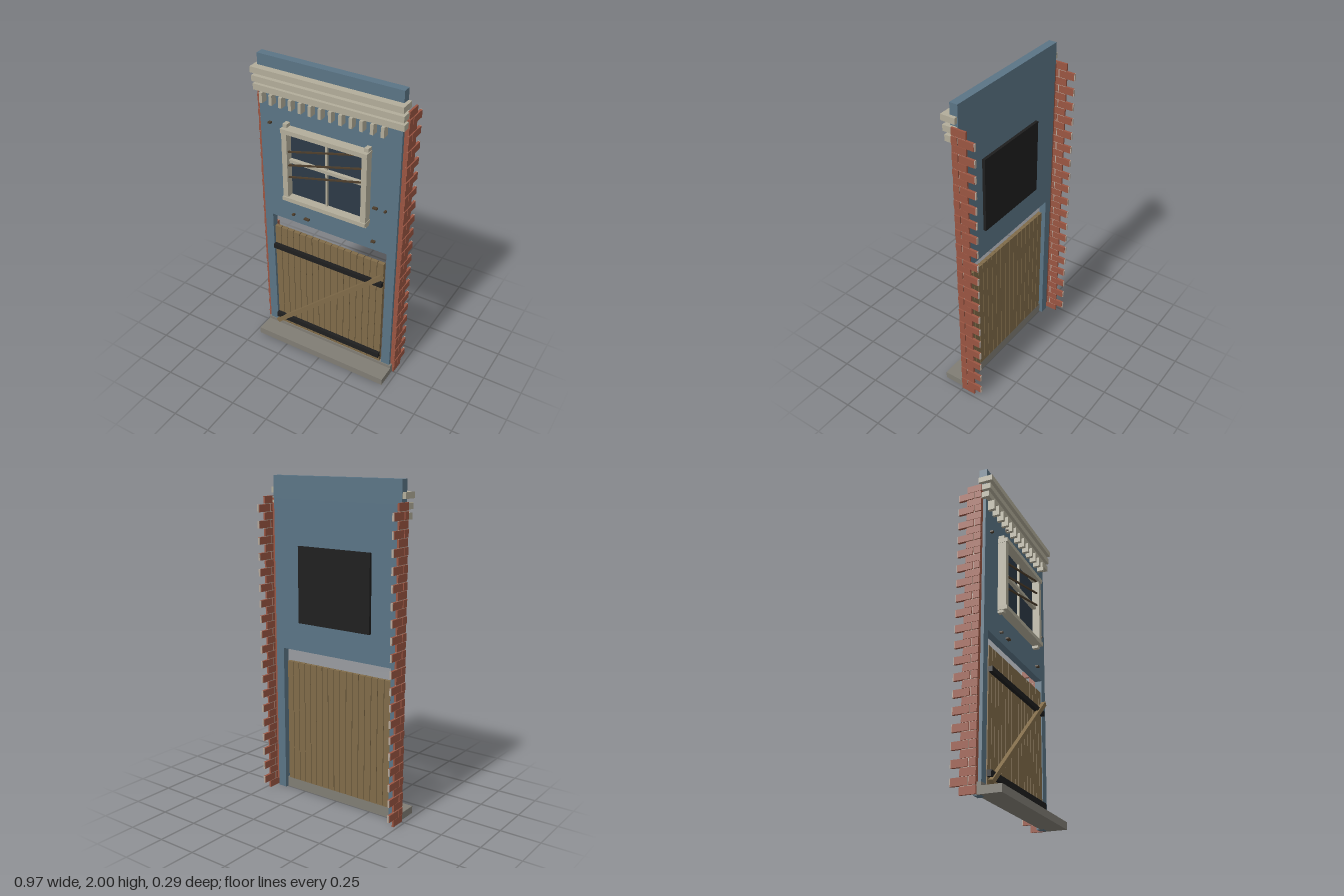
import * as THREE from 'three';

const mat = (name, color) => {
  const m = new THREE.MeshStandardMaterial({ color });
  m.name = name;
  return m;
};

export function createModel() {
  const model = new THREE.Group();
  model.name = 'shopFacade';
  const blue = mat('paintedWall', 0x5a7485);
  const trim = mat('paleTrim', 0xb2ad9a);
  const stone = mat('greyStone', 0x807d74);
  const brick = mat('redBrick', 0x9a5542);
  const mortar = mat('mortar', 0xb5a79a);
  const wood = mat('boardWood', 0x806b49);
  const darkWood = mat('darkWood', 0x4c3d2b);
  const black = mat('blackIron', 0x1e1e1e);
  const glass = mat('darkGlass', 0x2d3a46);

  // box given by its limits on each axis
  const box = (name, m, x0, x1, y0, y1, z0, z1, parent = model) => {
    const mesh = new THREE.Mesh(new THREE.BoxGeometry(x1 - x0, y1 - y0, z1 - z0), m);
    mesh.position.set((x0 + x1) / 2, (y0 + y1) / 2, (z0 + z1) / 2);
    mesh.name = name;
    parent.add(mesh);
    return mesh;
  };
  // bar running between two points in the wall plane
  const bar = (name, m, xa, ya, xb, yb, h, z0, z1, parent = model) => {
    const len = Math.hypot(xb - xa, yb - ya);
    const mesh = box(name, m, -len / 2, len / 2, -h / 2, h / 2, z0, z1, parent);
    mesh.position.set((xa + xb) / 2, (ya + yb) / 2, (z0 + z1) / 2);
    mesh.rotation.z = Math.atan2(yb - ya, xb - xa);
    return mesh;
  };
  const group = (name) => {
    const g = new THREE.Group();
    g.name = name;
    model.add(g);
    return g;
  };

  // wall with the wide ground-floor opening
  const outline = new THREE.Shape([
    [-0.455, 0], [-0.4, 0], [-0.4, 0.94], [0.397, 0.94], [0.397, 0],
    [0.455, 0], [0.455, 1.865], [-0.455, 1.865],
  ].map(([x, y]) => new THREE.Vector2(x, y)));
  const wall = new THREE.Mesh(
    new THREE.ExtrudeGeometry(outline, { depth: 0.044, bevelEnabled: false }), blue);
  wall.position.z = -0.022;
  wall.name = 'wall';
  model.add(wall);
  box('parapet', blue, -0.455, 0.455, 1.865, 2, -0.025, 0.025);

  // doorstep
  box('doorstep', stone, -0.467, 0.467, 0, 0.045, 0, 0.142);
  box('threshold', stone, -0.467, 0.467, 0.045, 0.066, 0, 0.027);

  // cornice mouldings and dentils
  const cornice = group('cornice');
  [[1.895, 1.931, 0.07], [1.838, 1.874, 0.06], [1.783, 1.82, 0.05]].forEach(([y0, y1, z]) =>
    box('corniceMoulding', trim, -0.476, 0.476, y0, y1, -0.02, z, cornice));
  for (let i = 0; i < 13; i++) {
    const x = -0.416 + i * 0.0645;
    box('dentil', trim, x - 0.01, x + 0.01, 1.72, 1.783, 0.02, 0.065, cornice);
  }

  // toothed brick edges on both sides
  const courses = 39, pitch = 1.88 / courses;
  for (const s of [-1, 1]) {
    const edge = group(s > 0 ? 'leftBrickEdge' : 'rightBrickEdge');
    const side = (name, m, a, b, y0, y1, z0, z1) =>
      box(name, m, Math.min(s * a, s * b), Math.max(s * a, s * b), y0, y1, z0, z1, edge);
    side('brickReturn', brick, 0.455, 0.47, 0.045, 1.865, -0.02, 0.003);
    side('mortarBed', mortar, 0.471, 0.477, 0.002, 1.876, -0.086, -0.002);
    for (let i = 0; i < courses; i++) {
      const y0 = i * pitch + 0.002, y1 = (i + 1) * pitch - 0.002;
      if (i % 2 === 0) {
        side('brick', brick, 0.469, 0.481, y0, y1, -0.09, 0.003);
      } else {
        side('halfBrick', brick, 0.469, 0.484, y0, y1, -0.036, 0.003);
        side('brick', brick, 0.469, 0.484, y0, y1, -0.14, -0.043);
        side('mortarEnd', mortar, 0.471, 0.482, y0, y1, -0.145, -0.14);
      }
    }
  }

  // sash window
  const win = group('window');
  box('windowGlass', glass, -0.25, 0.25, 1.13, 1.59, 0.02, 0.028, win);
  box('windowBacking', black, -0.26, 0.26, 1.12, 1.59, -0.04, -0.02, win);
  for (const s of [-1, 1]) {
    const jamb = (name, c, w, y0, y1, z0, z1) =>
      box(name, trim, s * c - w / 2, s * c + w / 2, y0, y1, z0, z1, win);
    jamb('windowJamb', 0.263, 0.026, 1.105, 1.625, 0.02, 0.06);
    jamb('windowStile', 0.261, 0.034, 1.14, 1.58, 0.02, 0.075);
  }
  box('windowHead', trim, -0.28, 0.28, 1.575, 1.603, 0.02, 0.083, win);
  box('windowSill', trim, -0.28, 0.28, 1.122, 1.148, 0.02, 0.083, win);
  box('meetingRail', trim, -0.245, 0.245, 1.376, 1.396, 0.02, 0.052, win);
  box('windowMullion', trim, -0.006, 0.006, 1.145, 1.577, 0.02, 0.042, win);
  [[1.45, 1.58], [1.36, 1.493], [1.28, 1.405]].forEach(([ya, yb]) =>
    bar('windowLath', darkWood, -0.25, ya, 0.25, yb, 0.009, 0.054, 0.064, win));

  // boarded ground-floor gate
  const gate = group('boardedGate');
  const count = 17, step = 0.773 / count;
  for (let i = 0; i < count; i++) {
    const x = -0.389 + i * step;
    box('plank', wood, x + 0.002, x + step - 0.002, 0.066, 0.855, -0.002, 0.022, gate);
  }
  box('plankGaps', darkWood, -0.387, 0.382, 0.066, 0.852, 0.006, 0.014, gate);
  box('upperBand', black, -0.389, 0.384, 0.695, 0.726, 0.02, 0.046, gate);
  box('lowerBand', black, -0.389, 0.384, 0.112, 0.147, 0.02, 0.046, gate);
  bar('diagonalBrace', wood, -0.38, 0.082, 0.385, 0.778, 0.028, 0.03, 0.055, gate);

  // small chips on the wall: x, y, width
  [[-0.385, 1.59, 0.018], [-0.17, 1.73, 0.014], [0.315, 1.24, 0.03], [0.38, 1.24, 0.012],
    [-0.24, 0.997, 0.015], [-0.145, 0.995, 0.036], [0.31, 1.005, 0.026]].forEach(([x, y, w]) =>
    box('wallChip', darkWood, x - w / 2, x + w / 2, y - 0.005, y + 0.005, 0.02, 0.04));

  return model;
}
